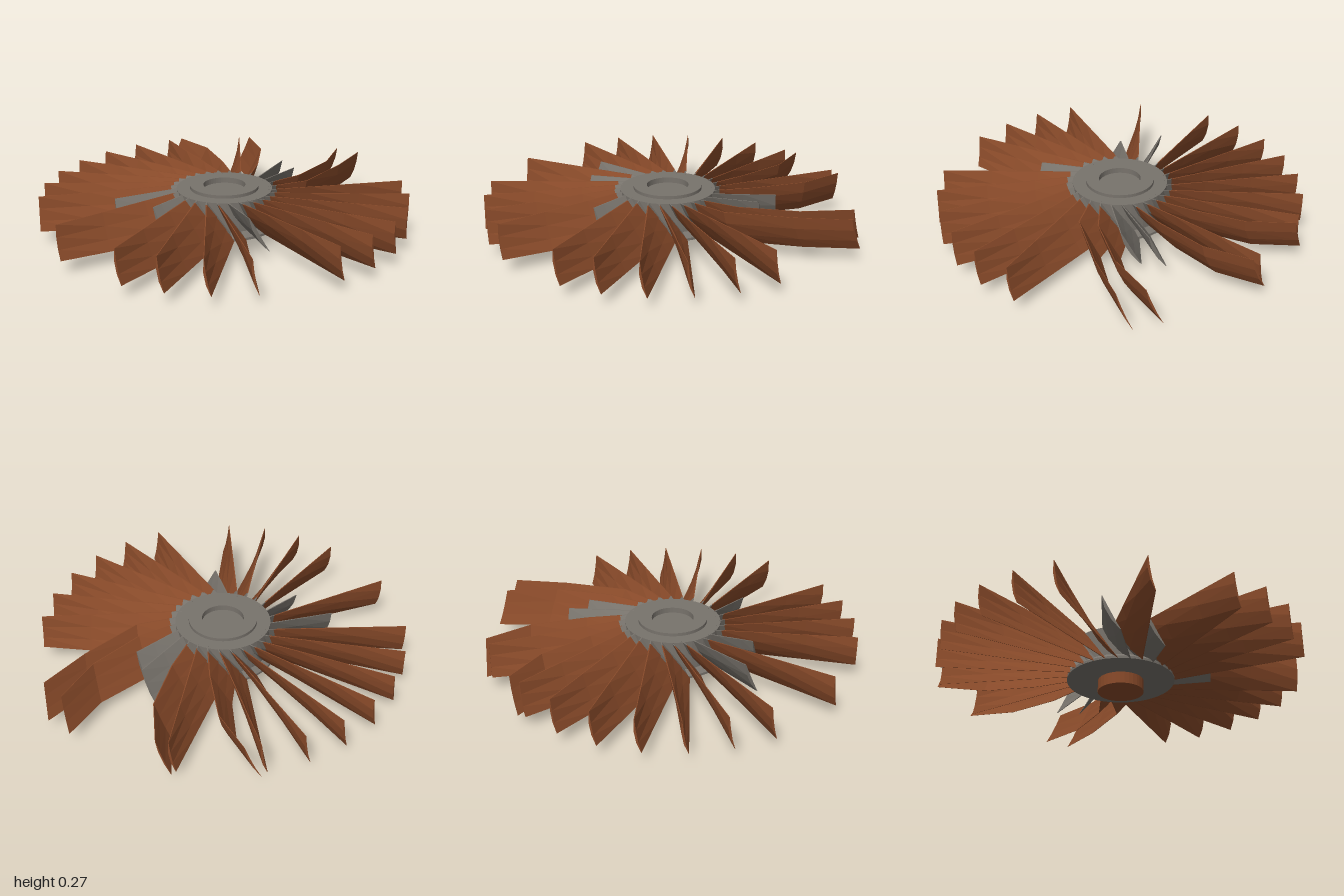
import * as THREE from 'three';

const RUST = 0x8a4b2a, STEEL = 0x78736c;
const COUNT = 28, TIP = 0.96;
const material = (color) => new THREE.MeshStandardMaterial({ color, flatShading: true });
const rust = material(RUST), steel = material(STEEL);

// Blade lean (sideways shift from bottom to top) and thickness shrink outwards
const leanAt = (r) => 0.14 - 0.155 * (r - 0.265);
const thickAt = (r) => 0.03 - 0.025 * (r - 0.265);

// Cross-section rows, bottom edge to top edge: [height fraction, camber, relative thickness]
const ROWS = [[0, 0, 0.15], [0.3, 0.009, 0.8], [0.65, 0.009, 0.9], [1, 0, 0.2]];

// Lofts a blade along +x through stations { r, off, lean }, closed at both ends
function bladeGeometry(stations) {
  const pos = [], index = [], rows = ROWS.length, n = rows * 2;
  for (const { r, off = 0, lean = leanAt(r) } of stations) {
    const low = 0.064 + 0.012 * (r - 0.265), high = 0.257 - 0.01 * (r - 0.265);
    for (let j = 0; j < n; j++) {
      const back = j >= rows;
      const [v, camber, thick] = ROWS[back ? n - 1 - j : j];
      const half = (thickAt(r) * thick) / 2 * (back ? 1 : -1);
      pos.push(r, low + (high - low) * v, off + lean * (v - 0.5) + camber + half);
    }
  }
  const quad = (a, b, c, d) => index.push(a, b, c, a, c, d);
  for (let i = 0; i < stations.length - 1; i++) {
    for (let j = 0; j < n; j++) {
      const k = (j + 1) % n, a = i * n, b = a + n;
      quad(a + j, a + k, b + k, b + j);
    }
  }
  const end = (stations.length - 1) * n;
  for (let j = 0; j < rows - 1; j++) {
    quad(end + j, end + j + 1, end + n - 2 - j, end + n - 1 - j);
    quad(n - 1 - j, n - 2 - j, j + 1, j);
  }
  const g = new THREE.BufferGeometry();
  g.setAttribute('position', new THREE.Float32BufferAttribute(pos, 3));
  g.setIndex(index);
  const flat = g.toNonIndexed();
  flat.computeVertexNormals();
  return flat;
}

// Broken blades: slot -> remaining radius
const BROKEN = { 2: 0.47, 7: 0.46, 9: 0.58, 20: 0.57, 21: 0.51 };
// Bent blades: slot -> sideways offset at mid span and at the tip
const BENT = { 17: [-0.04, -0.16], 19: [-0.05, -0.18], 22: [-0.105, -0.27], 23: [-0.18, -0.36] };

export function createModel() {
  const group = new THREE.Group();
  group.name = 'damagedTurbineWheel';
  const wheel = new THREE.Group();
  wheel.name = 'wheel';
  wheel.position.z = 0.05;
  group.add(wheel);

  const add = (name, geometry, mat, angle = 0) => {
    const mesh = new THREE.Mesh(geometry, mat);
    mesh.name = name;
    mesh.rotation.y = -angle;
    wheel.add(mesh);
    return mesh;
  };

  // Hub disc with raised collar and recessed centre
  const profile = [
    [0, 0.062], [0.282, 0.062], [0.282, 0.075], [0.25, 0.1], [0.25, 0.257], [0.18, 0.257],
    [0.18, 0.274], [0.11, 0.274], [0.11, 0.245], [0, 0.245],
  ].map(([x, y]) => new THREE.Vector2(x, y));
  add('hub', new THREE.LatheGeometry(profile, 48), steel);

  // Shaft stub below the hub
  const shaft = new THREE.CylinderGeometry(0.12, 0.12, 0.07, 32);
  add('shaft', shaft.translate(0, 0.035, 0), rust);

  // Blade roots and blades around the rim
  const root = bladeGeometry([{ r: 0.22 }, { r: 0.275 }]);
  const whole = bladeGeometry([0.265, 0.45, 0.7, TIP].map((r) => ({ r })));
  for (let k = 0; k < COUNT; k++) {
    const angle = (k / COUNT) * Math.PI * 2;
    add('bladeRoot', root, steel, angle);
    if (BROKEN[k]) {
      add('brokenBlade', bladeGeometry([{ r: 0.265 }, { r: 0.4 }, { r: BROKEN[k] }]), steel, angle);
    } else if (BENT[k]) {
      const [mid, tip] = BENT[k];
      add('bentBlade', bladeGeometry([
        { r: 0.265 }, { r: 0.45 },
        { r: 0.74, off: mid, lean: 0.09 },
        { r: TIP, off: tip, lean: 0.08 },
      ]), rust, angle);
    } else {
      add('blade', whole, rust, angle);
    }
  }
  return group;
}
